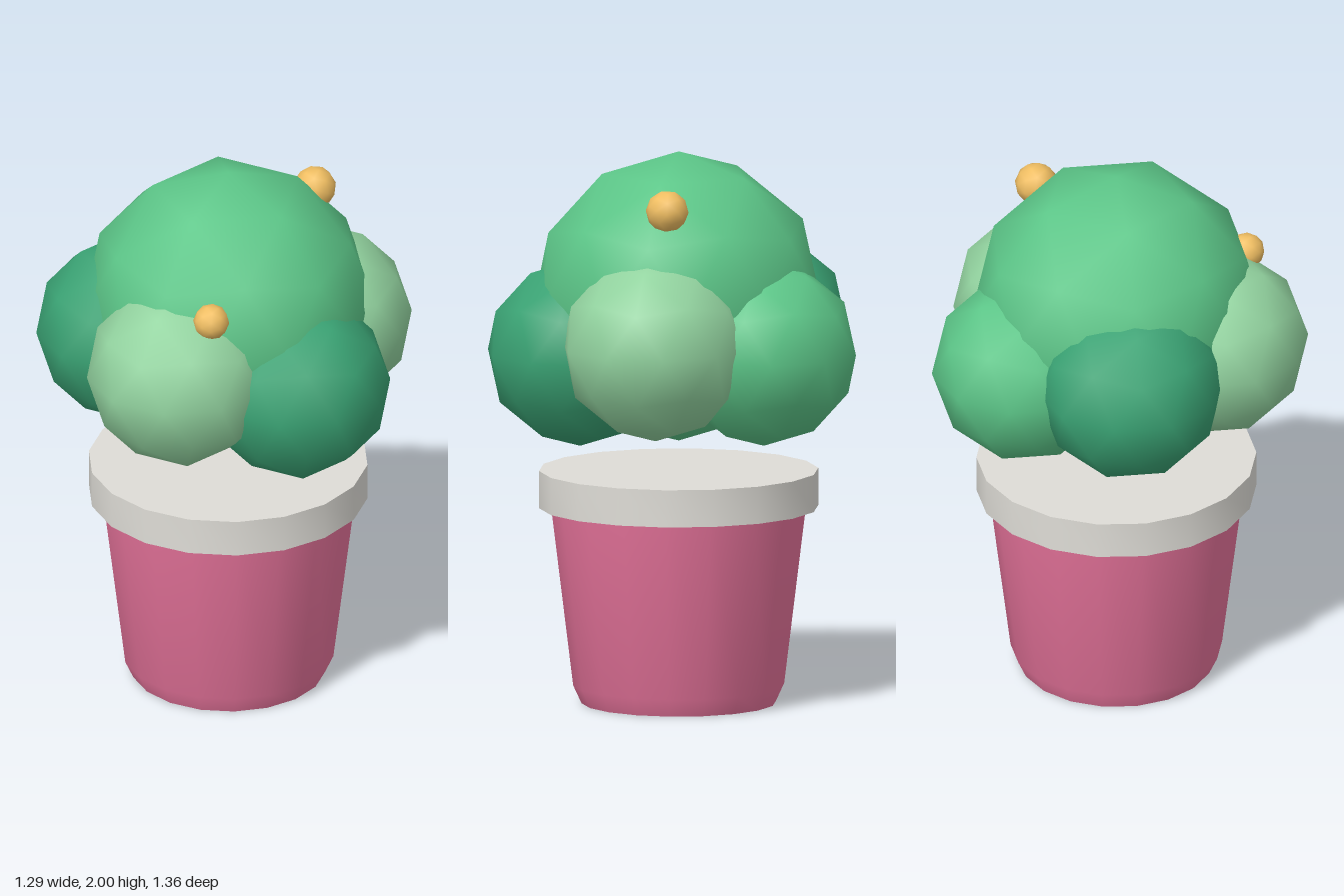
import * as THREE from 'three';
import { toCreasedNormals } from 'three/addons/utils/BufferGeometryUtils.js';

const material = (color) => new THREE.MeshStandardMaterial({ color });
const darkLeaf = material(0x3aa374);
const midLeaf = material(0x5cc688);
const paleLeaf = material(0x93d4a0);
const pink = material(0xe8749c);
const rimGrey = material(0xdedcd6);
const gold = material(0xf0be62);

const POT_X = -0.035;
const SIDES = 18;

// Low-poly ball standing on one corner, with smooth normals
function ball(name, mat, radius, x, y, z) {
  const geometry = new THREE.IcosahedronGeometry(radius, 1);
  geometry.rotateZ(-Math.atan(2 / (1 + Math.sqrt(5))));
  const mesh = new THREE.Mesh(geometry, mat);
  mesh.name = name;
  mesh.position.set(x, y, z);
  return mesh;
}

// Turned solid with a corner on +x, smooth around and sharp at its rims
function turned(name, mat, profile) {
  const points = profile.map(([r, y]) => new THREE.Vector2(r, y));
  const lathe = new THREE.LatheGeometry(points, SIDES).rotateY(Math.PI / 2);
  const mesh = new THREE.Mesh(toCreasedNormals(lathe, 0.7), mat);
  mesh.name = name;
  mesh.position.x = POT_X;
  return mesh;
}

export function createModel() {
  const plant = new THREE.Group();
  plant.name = 'pottedPlant';

  // Tapered pot with a chamfered foot
  plant.add(turned('pot', pink, [[0, 0], [0.35, 0], [0.38, 0.065], [0.47, 0.8], [0, 0.8]]));

  // Flat rim closing the pot
  plant.add(turned('potRim', rimGrey, [[0, 0.71], [0.503, 0.71], [0.503, 0.845], [0, 0.845]]));

  // Clustered foliage: one large crown and five smaller clumps around it
  const foliage = new THREE.Group();
  foliage.name = 'foliage';
  foliage.add(
    ball('crown', midLeaf, 0.525, POT_X, 1.475, 0),
    ball('clumpLeft', darkLeaf, 0.34, 0.32, 1.275, 0),
    ball('clumpFront', paleLeaf, 0.34, 0.075, 1.355, 0.34),
    ball('clumpBack', paleLeaf, 0.34, 0.075, 1.34, -0.34),
    ball('clumpRightFront', darkLeaf, 0.34, -0.325, 1.34, 0.21),
    ball('clumpRightBack', midLeaf, 0.34, -0.325, 1.3, -0.215),
  );
  plant.add(foliage);

  // Small fruits, each tilted
  const frontFruit = ball('frontFruit', gold, 0.065, 0.265, 1.64, 0.37);
  frontFruit.rotation.set(0.6, 0.3, -0.5);
  const backFruit = ball('backFruit', gold, 0.077, 0.035, 1.837, -0.363);
  backFruit.rotation.set(-0.5, 0.2, 0);
  plant.add(frontFruit, backFruit);

  return plant;
}
